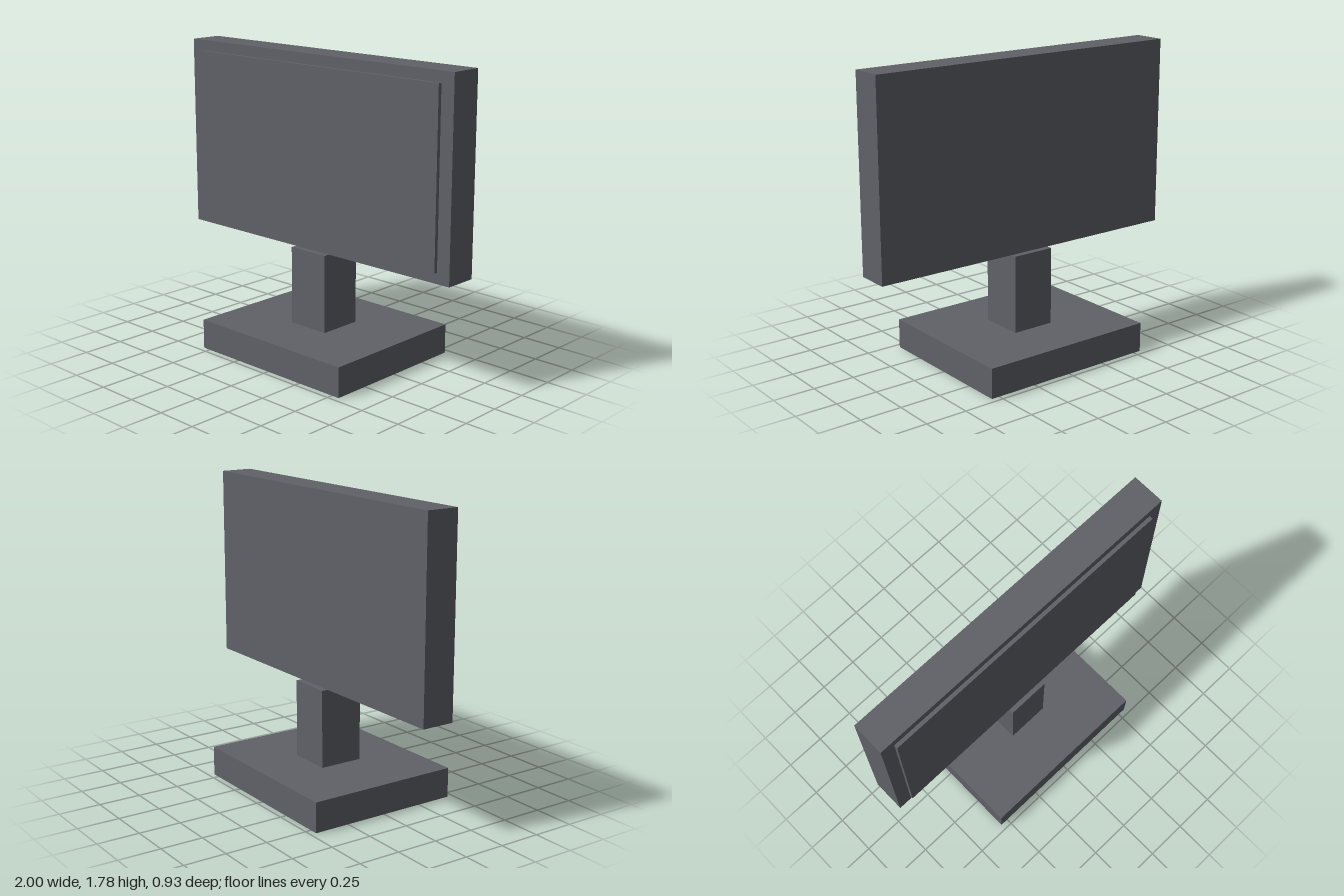
import * as THREE from 'three';

export function createModel() {
  const model = new THREE.Group();
  model.name = 'monitor';
  const darkGrey = new THREE.MeshStandardMaterial({ color: 0x606268 });
  darkGrey.name = 'dark grey';

  // Box given by its width and its y and z ranges, centred on x = 0
  function addBox(name, width, [y0, y1], [z0, z1]) {
    const mesh = new THREE.Mesh(new THREE.BoxGeometry(width, y1 - y0, z1 - z0), darkGrey);
    mesh.position.set(0, (y0 + y1) / 2, (z0 + z1) / 2);
    mesh.name = name;
    model.add(mesh);
  }

  // Stand
  addBox('base', 1.1, [0, 0.178], [-0.465, 0.465]);
  addBox('neck', 0.264, [0.178, 0.645], [-0.134, 0.134]);

  // Display housing with the raised screen on its front
  addBox('housing', 2, [0.645, 1.785], [-0.098, 0.098]);
  addBox('screen', 1.834, [0.708, 1.722], [0.098, 0.12]);

  return model;
}
